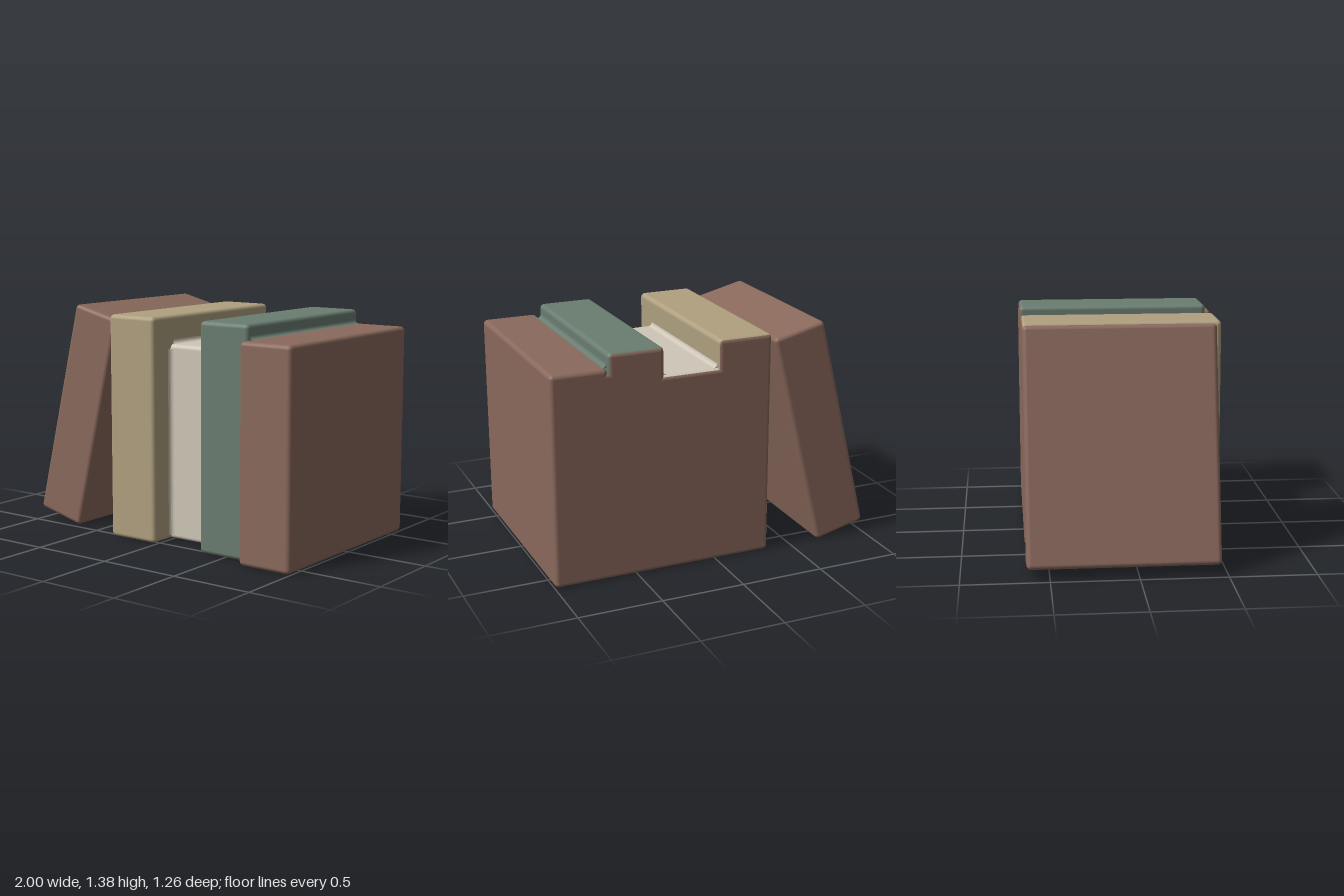
import * as THREE from 'three';
import { RoundedBoxGeometry } from 'three/addons/geometries/RoundedBoxGeometry.js';

const R = 0.026;      // edge rounding
const BACK = -0.63;   // shared back plane

export function createModel() {
  const group = new THREE.Group();
  const mat = (color) => new THREE.MeshStandardMaterial({ color });
  const brown = mat(0x8a695c), tan = mat(0xafa07f), cream = mat(0xcfc7b8), green = mat(0x6a7d71);

  const add = (name, geometry, material) => {
    const mesh = new THREE.Mesh(geometry, material);
    mesh.name = name;
    group.add(mesh);
    return mesh;
  };

  // Rounded block from x0 to x1; underside and back share the brown colour
  const book = (name, x0, x1, height, front, material) => {
    const g = new RoundedBoxGeometry(x1 - x0, height, front - BACK, 4, R);
    const m = add(name, g, [material, material, material, brown, material, brown]);
    m.position.set((x0 + x1) / 2, height / 2, (front + BACK) / 2);
  };

  // Upright row; the low book runs on inside its neighbours so the back stays flush
  book('tanBook', -0.345, -0.01, 1.345, 0.54, tan);
  book('creamBook', -0.08, 0.4, 1.175, 0.375, cream);
  book('greenBook', 0.325, 0.66, 1.345, 0.54, green);
  book('brownBook', 0.66, 0.998, 1.26, 0.625, brown);
  // Inner block closing the seam between the green and brown books
  book('seamBlock', 0.56, 0.78, 1.26 - R, 0.54 - R, brown);

  // Concave strip for an inner corner, turned by quarter turns about its length
  const strip = (length, turns) => {
    const s = new THREE.Shape();
    s.moveTo(0, 0);
    s.lineTo(R, 0);
    s.absarc(R, R, R, -Math.PI / 2, -Math.PI, true);
    s.lineTo(0, 0);
    const g = new THREE.ExtrudeGeometry(s, { depth: length, bevelEnabled: false, curveSegments: 5 });
    return g.rotateZ(turns * Math.PI / 2);
  };
  const topFillet = (name, x, y, front, turns, material) =>
    add(name, strip(front - BACK - 2 * R, turns), material).position.set(x, y, BACK + R);
  const frontFillet = (name, x, z, height, turns, material) =>
    add(name, strip(height - 2 * R, turns).rotateX(-Math.PI / 2), material).position.set(x, R, z);

  topFillet('creamTopFilletRight', -0.01, 1.175, 0.375, 0, cream);
  topFillet('creamTopFilletLeft', 0.325, 1.175, 0.375, 1, cream);
  topFillet('brownTopFillet', 0.66, 1.26, 0.54, 0, green);
  frontFillet('creamFrontFilletRight', -0.01, 0.375, 1.175, -1, cream);
  frontFillet('creamFrontFilletLeft', 0.325, 0.375, 1.175, 2, cream);
  frontFillet('greenFrontFillet', 0.66, 0.54, 1.26, 2, green);

  // Book leaning towards the row
  const leaning = add('leaningBook', new RoundedBoxGeometry(0.33, 1.35, 0.46 - BACK, 4, R), brown);
  leaning.position.set(-0.682, 0.69, (0.46 + BACK) / 2);
  leaning.rotation.z = -0.241;

  return group;
}
